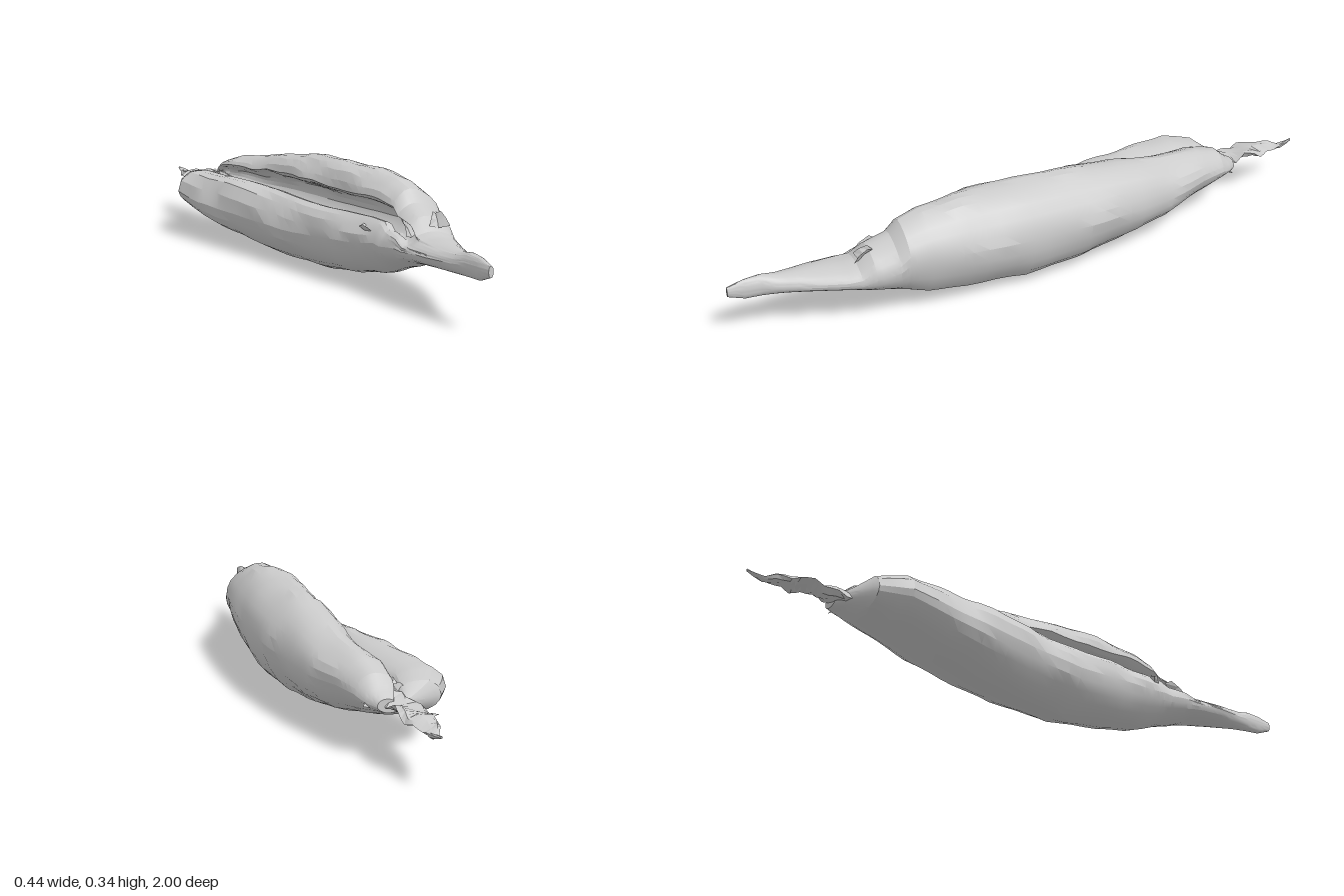
import * as THREE from 'three';
import { toCreasedNormals } from 'three/addons/utils/BufferGeometryUtils.js';

const material = new THREE.MeshStandardMaterial({ color: 0xcccccc, side: THREE.DoubleSide });

// Normalised cross-sections, counter-clockwise from the left flank:
// 12 outer points, then the groove and the left rim
const openBack = [[0, .38], [.07, .16], [.25, .03], [.5, 0], [.76, .08], [.93, .3], [1, .55], [.96, .79],
  [.86, .94], [.76, 1], [.65, .95], [.57, .83], [.66, .76], [.72, .68], [.72, .57], [.67, .49], [.6, .45],
  [.53, .49], [.5, .57], [.46, .66], [.32, .75], [.13, .74]];
const openFront = [[0, .36], [.08, .17], [.26, .04], [.5, 0], [.76, .1], [.94, .33], [1, .59], [.92, .79],
  [.72, .96], [.51, 1], [.36, .93], [.28, .79], [.4, .73], [.54, .68], [.59, .58], [.53, .5], [.45, .44],
  [.38, .44], [.32, .5], [.28, .58], [.18, .62], [.06, .53]];
// Closed section: the outer points take most of the round, the rest the upper left
const closed = openFront.map((_, i) => {
  const a = THREE.MathUtils.degToRad(180 + (i < 12 ? i * 27 : 297 + (i - 11) * 63 / 11));
  return [.5 + .5 * Math.cos(a), .5 + .5 * Math.sin(a)];
});
const smooth = (pts) => new THREE.CatmullRomCurve3(pts.map(([x, y]) => new THREE.Vector3(x, y, 0)), true)
  .getPoints(44).slice(0, 44);
const [backRing, frontRing, closedRing] = [openBack, openFront, closed].map(smooth);

// Husk stations: z, left, right, bottom, top, openness
const husk = [
  [-.72, -.04, .03, .14, .18, .3], [-.69, -.1, .055, .13, .2, .7], [-.65, -.175, .075, .11, .235, 1],
  [-.56, -.22, .105, .085, .26, 1], [-.42, -.205, .15, .05, .275, 1], [-.3, -.18, .175, .03, .3, 1],
  [-.1, -.135, .205, .006, .325, 1], [.1, -.095, .22, 0, .335, 1], [.3, -.065, .217, .022, .336, 1],
  [.42, -.035, .208, .045, .325, 1], [.49, -.02, .2, .07, .305, .95], [.52, -.018, .195, .08, .27, .85],
  [.59, -.013, .185, .1, .245, .6], [.63, -.01, .172, .115, .208, .25], [.67, -.005, .158, .123, .2, .05],
  [.75, .003, .128, .13, .197, 0], [.85, .022, .09, .136, .197, 0], [.9, .032, .075, .138, .206, 0],
  [.95, .038, .068, .14, .203, 0], [1, .045, .06, .158, .19, 0]];

// Twisted tail stations: z, centre x, centre y, half width, half thickness, twist
const tail = [
  [-.6, -.03, .17, .03, .03, 0], [-.68, -.045, .16, .045, .02, .3], [-.74, -.045, .155, .058, .012, .1],
  [-.78, -.045, .16, .05, .014, .3], [-.82, -.055, .163, .058, .008, .1], [-.85, -.045, .16, .042, .01, -.2],
  [-.88, -.055, .155, .038, .008, .1], [-.92, -.055, .15, .025, .008, -.2], [-.95, -.05, .147, .015, .007, .2],
  [-1, -.055, .157, .003, .003, 0]];

// Row of a station table at fraction t, by linear interpolation
function sample(table, t) {
  const f = t * (table.length - 1), i = Math.min(Math.floor(f), table.length - 2);
  return table[i].map((v, k) => THREE.MathUtils.lerp(v, table[i + 1][k], f - i));
}

// Skin a list of equally long rings and close both ends with fans
function loft(rings, crease) {
  const n = rings[0].length, pos = [], idx = [];
  rings.forEach((r) => r.forEach((p) => pos.push(p.x, p.y, p.z)));
  for (let j = 0; j < rings.length - 1; j++) {
    for (let i = 0; i < n; i++) {
      const a = j * n + i, b = j * n + (i + 1) % n;
      idx.push(a, b, b + n, a, b + n, a + n);
    }
  }
  [0, rings.length - 1].forEach((j) => {
    const c = new THREE.Vector3();
    rings[j].forEach((p) => c.addScaledVector(p, 1 / n));
    const k = pos.length / 3;
    pos.push(c.x, c.y, c.z);
    for (let i = 0; i < n; i++) {
      const a = j * n + i, b = j * n + (i + 1) % n;
      idx.push(...(j ? [k, a, b] : [k, b, a]));
    }
  });
  const g = new THREE.BufferGeometry();
  g.setAttribute('position', new THREE.Float32BufferAttribute(pos, 3));
  g.setIndex(idx);
  return toCreasedNormals(g, crease);
}

// Irregular wrinkles round and along the husk, from -1 to 1
function wrinkle(i, z) {
  const a = (i / 44) * Math.PI * 2;
  return (Math.sin(z * 19 + a * 6) + Math.sin(z * 13 - a * 10 + 2) + Math.sin(z * 37 + a * 4)) / 3;
}

function makeHusk() {
  const steps = 76, rings = [];
  for (let j = 0; j <= steps; j++) {
    const [z, l, r, b, t, open] = sample(husk, j / steps);
    const front = THREE.MathUtils.smoothstep(z, -.6, .25);
    rings.push(closedRing.map((c, i) => {
      const p = backRing[i].clone().lerp(frontRing[i], front).lerp(c, 1 - open);
      // The rolled rims are more crumpled than the outer wall
      const rim = (i > 19 && i < 27) || i > 36 ? .07 : .025;
      const s = 1 + wrinkle(i, z) * rim * Math.min(1, open + .4);
      const u = .5 + (p.x - .5) * s, v = .5 + (p.y - .5) * s;
      return new THREE.Vector3(l + (r - l) * u, Math.max(0, b + (t - b) * v), z);
    }));
  }
  return loft(rings, .35);
}

function makeTail() {
  const steps = 18, sides = 8, rings = [];
  for (let j = 0; j <= steps; j++) {
    const [z, x, y, w, h, twist] = sample(tail, 1 - j / steps);
    rings.push(Array.from({ length: sides }, (_, i) => {
      const a = (i / sides) * Math.PI * 2;
      const p = new THREE.Vector3(Math.cos(a) * w, Math.sin(a) * h + Math.cos(a * 2 + z * 40) * h * .5, 0);
      return p.applyAxisAngle(new THREE.Vector3(0, 0, 1), twist).add(new THREE.Vector3(x, y, z));
    }));
  }
  return loft(rings, .4);
}

// Small torn flap, folded along its middle and narrowing to its tip
function makeFlap([x, y, z, w, h, turn]) {
  const g = new THREE.PlaneGeometry(w, h, 2, 2);
  const p = g.attributes.position;
  for (let i = 0; i < p.count; i++) {
    const up = p.getY(i) / h + .5;
    p.setXYZ(i, p.getX(i) * (1 - up * .6), p.getY(i), Math.abs(p.getX(i)) * .6 - up * up * .02);
  }
  g.rotateX(-.5);
  g.rotateY(turn);
  g.translate(x, y, z);
  return toCreasedNormals(g, .3);
}

export function createModel() {
  const group = new THREE.Group();
  const add = (name, geometry) => {
    const mesh = new THREE.Mesh(geometry, material);
    mesh.name = name;
    group.add(mesh);
  };
  add('openHusk', makeHusk());
  add('twistedTail', makeTail());
  // Torn edges where the opening ends
  [[.05, .21, .57, .07, .06, .2], [.12, .235, .61, .06, .05, -.3], [-.01, .18, .45, .05, .06, 1],
    [.03, .17, -.68, .05, .05, 2.8], [-.05, .18, -.66, .06, .05, 3.5]]
    .forEach((f) => add('tornFlap', makeFlap(f)));
  return group;
}
